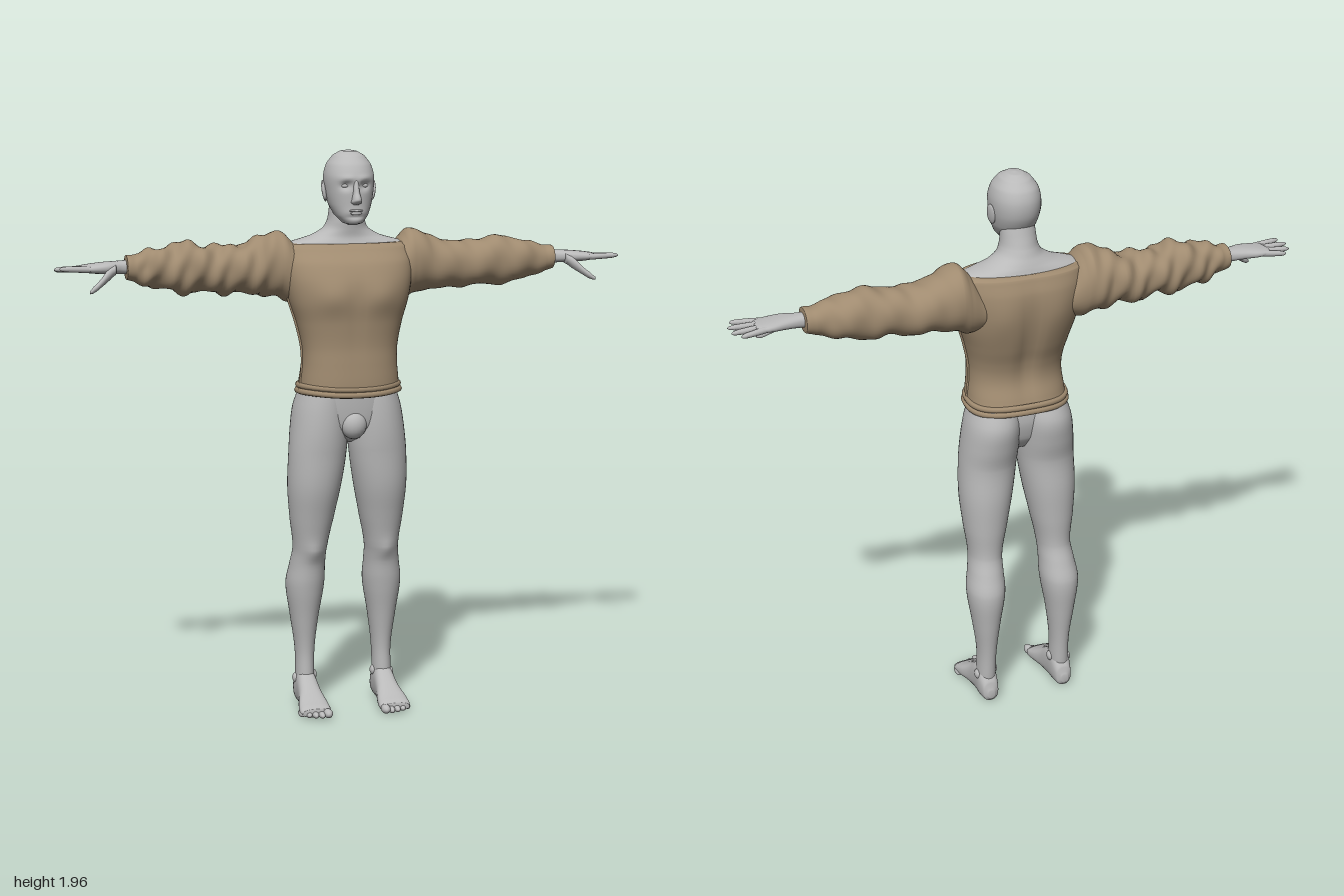
import * as THREE from 'three';

const skin = new THREE.MeshStandardMaterial({ color: 0xb9b9b9 });
skin.name = 'grey skin';
const cloth = new THREE.MeshStandardMaterial({ color: 0xa08b70 });
cloth.name = 'tan cloth';

// Smooth loft through rings [t, aMin, aMax, bMin, bMax].
// axis x: a = y, b = z;  axis y: a = z, b = x;  axis z: a = x, b = y.
function loft(name, material, axis, rings, { side = 1, power = 2, sub = 5, seg = 32, warp } = {}) {
  const k = 'xyz'.indexOf(axis);
  const pos = [], index = [];
  const rows = (rings.length - 1) * sub + 1;
  const at = (i) => rings[Math.max(0, Math.min(rings.length - 1, i))];
  const v = new THREE.Vector3();
  const put = (t, a, b) => {
    v.setComponent(k, t).setComponent((k + 1) % 3, a).setComponent((k + 2) % 3, b);
    if (warp) warp(v);
    pos.push(v.x * side, v.y, v.z);
  };
  const sections = [];
  for (let r = 0; r < rows; r++) {
    const i = Math.min(Math.floor(r / sub), rings.length - 2), f = r / sub - i;
    sections.push(at(i).map((p1, c) => {
      const p0 = at(i - 1)[c], p2 = at(i + 1)[c], p3 = at(i + 2)[c];
      if (c === 0) return p1 + (p2 - p1) * f;
      return p1 + 0.5 * f * (p2 - p0 + f * (2 * p0 - 5 * p1 + 4 * p2 - p3 + f * (3 * (p1 - p2) + p3 - p0)));
    }));
  }
  const curve = (c) => Math.sign(c) * Math.abs(c) ** (2 / power);
  for (const [t, a0, a1, b0, b1] of sections) {
    for (let j = 0; j < seg; j++) {
      const u = (j / seg) * Math.PI * 2;
      put(t, (a0 + a1) / 2 + (a1 - a0) / 2 * curve(Math.cos(u)), (b0 + b1) / 2 + (b1 - b0) / 2 * curve(Math.sin(u)));
    }
  }
  for (const [t, a0, a1, b0, b1] of [sections[0], sections[rows - 1]]) put(t, (a0 + a1) / 2, (b0 + b1) / 2);
  const up = rings[rings.length - 1][0] > rings[0][0] ? 1 : -1;
  const tri = (a, b, c) => (side * up > 0 ? index.push(a, b, c) : index.push(a, c, b));
  for (let j = 0; j < seg; j++) {
    const n = (j + 1) % seg, last = (rows - 1) * seg;
    for (let r = 0; r < rows - 1; r++) {
      const p = r * seg;
      tri(p + j, p + n, p + seg + n);
      tri(p + j, p + seg + n, p + seg + j);
    }
    tri(rows * seg, n, j);
    tri(rows * seg + 1, last + j, last + n);
  }
  const g = new THREE.BufferGeometry();
  g.setAttribute('position', new THREE.Float32BufferAttribute(pos, 3));
  g.setIndex(index);
  g.computeVertexNormals();
  const mesh = new THREE.Mesh(g, material);
  mesh.name = name;
  return mesh;
}

function ellipsoid(name, material, [x, y, z], [sx, sy, sz]) {
  const mesh = new THREE.Mesh(new THREE.SphereGeometry(1, 20, 14), material);
  mesh.name = name;
  mesh.position.set(x, y, z);
  mesh.scale.set(sx, sy, sz);
  return mesh;
}

function tube(name, material, points, radius, closed = false) {
  const path = new THREE.CatmullRomCurve3(points.map((p) => new THREE.Vector3(...p)), closed);
  const mesh = new THREE.Mesh(new THREE.TubeGeometry(path, 96, radius, 8, closed), material);
  mesh.name = name;
  return mesh;
}

const bump = (d, w) => Math.exp(-((d / w) ** 2));

function makeHead() {
  const head = new THREE.Group();
  head.name = 'head';
  // Skull and jaw, with pressed-in eye sockets and a slight brow
  head.add(loft('skull', skin, 'y', [
    [1.708, 0.05, 0.085, -0.015, 0.015], [1.716, 0.02, 0.112, -0.034, 0.034], [1.74, -0.025, 0.12, -0.055, 0.055],
    [1.775, -0.062, 0.119, -0.071, 0.071], [1.82, -0.086, 0.12, -0.081, 0.081], [1.87, -0.092, 0.12, -0.084, 0.084],
    [1.91, -0.08, 0.103, -0.074, 0.074], [1.94, -0.052, 0.075, -0.052, 0.052], [1.954, -0.025, 0.046, -0.028, 0.028],
    [1.958, 0.005, 0.015, -0.005, 0.005],
  ], { power: 2.15, seg: 64, sub: 7, warp: (v) => {
    if (v.z < 0.03) return;
    const x = Math.abs(v.x);
    v.z -= 0.014 * bump(x - 0.032, 0.018) * bump(v.y - 1.842, 0.013);
    v.z += 0.005 * bump(x - 0.03, 0.028) * bump(v.y - 1.866, 0.01);
    v.z -= 0.006 * bump(x, 0.03) * bump(v.y - 1.738, 0.008);
  } }));
  head.add(loft('nose', skin, 'y', [
    [1.779, 0.1, 0.126, -0.01, 0.01], [1.786, 0.1, 0.143, -0.018, 0.018], [1.797, 0.1, 0.15, -0.016, 0.016],
    [1.82, 0.1, 0.137, -0.011, 0.011], [1.86, 0.1, 0.122, -0.009, 0.009],
  ], { seg: 20 }));
  head.add(ellipsoid('upperLip', skin, [0, 1.759, 0.117], [0.024, 0.005, 0.009]));
  head.add(ellipsoid('lowerLip', skin, [0, 1.75, 0.116], [0.02, 0.006, 0.009]));
  for (const s of [1, -1]) {
    head.add(ellipsoid('eye', skin, [0.032 * s, 1.842, 0.095], [0.015, 0.009, 0.011]));
    const ear = ellipsoid('ear', skin, [0.084 * s, 1.82, 0.008], [0.008, 0.037, 0.021]);
    ear.rotation.set(-0.15, 0.3 * s, -0.12 * s);
    head.add(ear);
  }
  return head;
}

function makeHand(s) {
  const hand = new THREE.Group();
  hand.name = s > 0 ? 'leftHand' : 'rightHand';
  hand.add(loft('palm', skin, 'x', [
    [0.7, 1.545, 1.6, -0.08, -0.02], [0.77, 1.55, 1.595, -0.08, -0.02], [0.82, 1.552, 1.593, -0.086, 0],
    [0.87, 1.555, 1.588, -0.094, 0.005], [0.905, 1.56, 1.583, -0.09, 0], [0.915, 1.566, 1.578, -0.08, -0.01],
  ], { side: s, power: 2.4 }));
  // Fingers: base z, tip x, tip y, tip z
  for (const [z0, x1, y1, z1] of [[-0.081, 0.97, 1.562, -0.09], [-0.057, 0.995, 1.566, -0.062], [-0.032, 1, 1.572, -0.03], [-0.008, 0.985, 1.576, 0.004]]) {
    const rings = [[0, 0.011], [0.4, 0.0105], [0.8, 0.009], [0.95, 0.006], [1, 0.002]].map(([f, r]) => {
      const y = 1.571 + (y1 - 1.571) * f, z = z0 + (z1 - z0) * f;
      return [0.88 + (x1 - 0.88) * f, y - r, y + r, z - r, z + r];
    });
    hand.add(loft('finger', skin, 'x', rings, { side: s, seg: 12 }));
  }
  hand.add(loft('thumb', skin, 'x', [
    [0.795, 1.55, 1.585, -0.04, 0], [0.82, 1.532, 1.572, -0.025, 0.012], [0.85, 1.512, 1.54, 0, 0.028],
    [0.875, 1.497, 1.519, 0.016, 0.038], [0.89, 1.494, 1.505, 0.03, 0.041],
  ], { side: s, seg: 16 }));
  return hand;
}

function makeLeg(s) {
  const leg = new THREE.Group();
  leg.name = s > 0 ? 'leftLeg' : 'rightLeg';
  leg.add(loft('thighAndCalf', skin, 'y', [
    [0.05, -0.105, -0.015, 0.11, 0.175], [0.1, -0.11, -0.015, 0.108, 0.174], [0.2, -0.118, -0.018, 0.106, 0.174],
    [0.32, -0.135, -0.002, 0.092, 0.19], [0.44, -0.146, 0.02, 0.073, 0.206], [0.52, -0.122, 0.03, 0.073, 0.195],
    [0.58, -0.104, 0.047, 0.07, 0.188], [0.68, -0.108, 0.068, 0.05, 0.2], [0.8, -0.112, 0.095, 0.026, 0.21],
    [0.92, -0.108, 0.105, 0.008, 0.207], [1, -0.125, 0.11, 0.002, 0.2], [1.08, -0.134, 0.108, 0.001, 0.188],
    [1.15, -0.11, 0.1, 0.01, 0.165], [1.2, -0.08, 0.08, 0.03, 0.14],
  ], { side: s, power: 2.1, seg: 40, warp: (v) => {
    if (v.z > -0.02) v.z += 0.008 * bump(v.y - 0.57, 0.03) * bump(v.x - 0.13, 0.025);
  } }));
  leg.add(loft('foot', skin, 'z', [
    [-0.126, 0.13, 0.155, 0.02, 0.05], [-0.115, 0.113, 0.17, 0.006, 0.085], [-0.08, 0.106, 0.178, 0, 0.125],
    [-0.03, 0.104, 0.178, 0, 0.125], [0.02, 0.1, 0.182, 0, 0.092], [0.07, 0.091, 0.194, 0, 0.062],
    [0.11, 0.088, 0.198, 0, 0.043], [0.128, 0.095, 0.192, 0.005, 0.033],
  ], { side: s, power: 2.5 }));
  for (let i = 0; i < 5; i++) {
    const r = i ? 0.0115 : 0.016;
    leg.add(ellipsoid('toe', skin, [s * (0.104 + i * 0.0215), r + 0.002, 0.134 - 0.0022 * i * i], [r, r, 0.026]));
  }
  leg.add(ellipsoid('innerAnkle', skin, [s * 0.11, 0.105, -0.06], [0.012, 0.018, 0.018]));
  leg.add(ellipsoid('outerAnkle', skin, [s * 0.173, 0.095, -0.065], [0.012, 0.018, 0.018]));
  return leg;
}

function makeSleeve(s) {
  // The right sleeve is baggier and more creased than the left
  const fold = s > 0 ? 0.003 : 0.008;
  return loft(s > 0 ? 'leftSleeve' : 'rightSleeve', cloth, 'x', [
    [0.15, 1.45, 1.6, -0.13, 0.05], [0.205, 1.44, 1.665, -0.145, 0.055], [0.235, 1.455, 1.685, -0.152, 0.05],
    [0.3, 1.47, 1.658, -0.155, 0.04], [0.4, 1.472, 1.635, -0.145, 0.03], [0.48, 1.482, 1.64, -0.138, 0.028],
    [0.55, 1.478, 1.65, -0.135, 0.025], [0.64, 1.495, 1.636, -0.122, 0.015], [0.72, 1.518, 1.615, -0.105, -0.004],
    [0.755, 1.53, 1.612, -0.1, -0.003], [0.757, 1.545, 1.6, -0.085, -0.018],
  ], { side: s, power: 2.15, seg: 40, sub: 8, warp: (v) => {
    const dy = v.y - 1.565, dz = v.z + 0.055, a = Math.atan2(dz, dy);
    const fade = THREE.MathUtils.smoothstep(v.x, 0.2, 0.3) * (1 - THREE.MathUtils.smoothstep(v.x, 0.68, 0.75));
    const d = fold * fade * (Math.sin(v.x * 48 + 2 * a) + 0.6 * Math.sin(v.x * 85 - 3 * a));
    v.y += d * Math.cos(a);
    v.z += d * Math.sin(a);
  } });
}

function makeShirt() {
  const shirt = new THREE.Group();
  shirt.name = 'shirt';
  // Body with chest, shoulder blades and a spine groove
  shirt.add(loft('shirtBody', cloth, 'y', [
    [1.135, -0.128, 0.145, -0.176, 0.176], [1.17, -0.12, 0.147, -0.172, 0.172], [1.24, -0.1, 0.143, -0.165, 0.165],
    [1.3, -0.105, 0.14, -0.168, 0.168], [1.38, -0.132, 0.146, -0.186, 0.186], [1.45, -0.15, 0.152, -0.208, 0.208],
    [1.52, -0.158, 0.145, -0.222, 0.222], [1.58, -0.155, 0.118, -0.226, 0.226], [1.63, -0.138, 0.07, -0.22, 0.22],
    [1.642, -0.125, 0.05, -0.205, 0.205],
  ], { power: 2.4, seg: 64, sub: 6, warp: (v) => {
    const x = Math.abs(v.x);
    if (v.z > 0.03) v.z += 0.012 * bump(x - 0.085, 0.06) * bump(v.y - 1.47, 0.05) - 0.004 * bump(x, 0.02) * bump(v.y - 1.42, 0.12);
    if (v.z < -0.03) v.z += 0.018 * bump(x, 0.03) * bump(v.y - 1.38, 0.18) - 0.006 * bump(x - 0.1, 0.05) * bump(v.y - 1.5, 0.07);
  } }));
  // Rolled hem in two turns
  for (const [y, grow] of [[1.138, 0.002], [1.157, -0.001]]) {
    const ring = [];
    for (let i = 0; i < 24; i++) {
      const u = (i / 24) * Math.PI * 2, c = Math.cos(u), n = Math.sin(u);
      const soft = (q) => Math.sign(q) * Math.abs(q) ** 0.84;
      ring.push([(0.173 + grow) * soft(c), y + 0.003 * Math.sin(3 * u), 0.008 + (0.134 + grow) * soft(n)]);
    }
    shirt.add(tube('hem', cloth, ring, 0.0105, true));
  }
  for (const s of [1, -1]) {
    shirt.add(makeSleeve(s));
    shirt.add(tube('sideSeam', cloth, [[0.173, 1.14, 0.02], [0.164, 1.24, 0.02], [0.168, 1.3, 0.018], [0.186, 1.38, 0.012], [0.207, 1.45, 0.005], [0.216, 1.5, 0]]
      .map(([x, y, z]) => [x * s, y, z]), 0.006));
  }
  return shirt;
}

export function createModel() {
  const model = new THREE.Group();
  model.name = 'figure';
  model.add(makeHead());
  // Neck widening into the bare shoulders
  model.add(loft('neckAndShoulders', skin, 'y', [
    [1.58, -0.12, 0.08, -0.22, 0.22], [1.625, -0.128, 0.055, -0.23, 0.23], [1.645, -0.122, 0.045, -0.195, 0.195],
    [1.665, -0.115, 0.04, -0.125, 0.125], [1.69, -0.103, 0.042, -0.08, 0.08], [1.72, -0.09, 0.045, -0.064, 0.064],
    [1.77, -0.074, 0.04, -0.058, 0.058], [1.81, -0.065, 0.03, -0.05, 0.05],
  ], { seg: 48 }));
  // Hips joining the legs
  model.add(loft('hips', skin, 'y', [
    [0.955, -0.02, 0.03, -0.02, 0.02], [0.975, -0.055, 0.075, -0.055, 0.055], [1.02, -0.085, 0.1, -0.14, 0.14],
    [1.09, -0.1, 0.108, -0.172, 0.172], [1.2, -0.09, 0.11, -0.155, 0.155],
  ], { power: 2.2, seg: 40 }));
  model.add(ellipsoid('groin', skin, [0, 1.025, 0.085], [0.045, 0.05, 0.04]));
  model.add(makeShirt());
  for (const s of [1, -1]) model.add(makeHand(s), makeLeg(s));
  return model;
}
